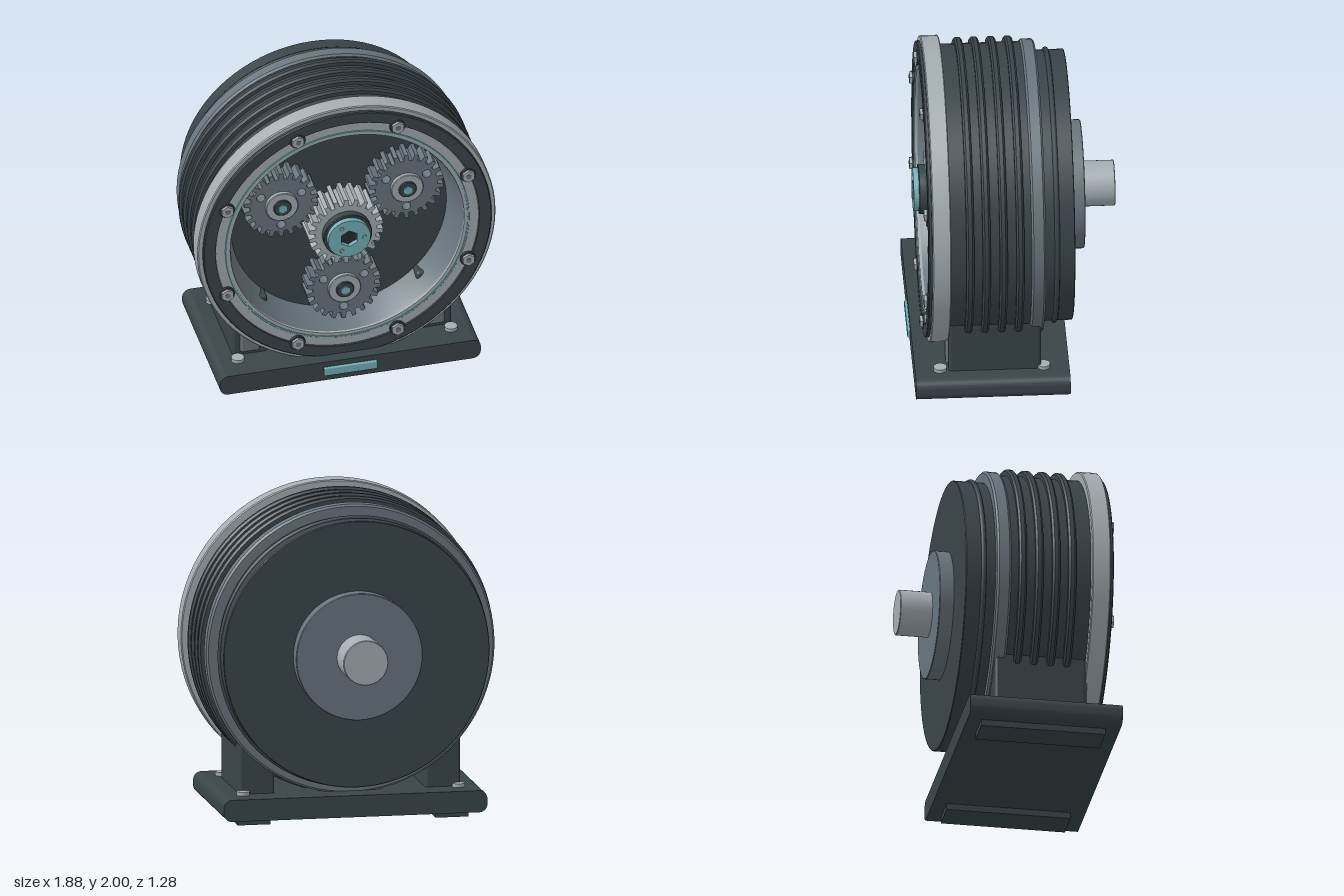
import * as THREE from 'three';
import { toCreasedNormals } from 'three/addons/utils/BufferGeometryUtils.js';
import { RoundedBoxGeometry } from 'three/addons/geometries/RoundedBoxGeometry.js';

const AXIS_Y = 1.06; // height of the main axis

export function createModel() {
  const model = new THREE.Group();
  model.name = 'gearbox';
  const material = (name, color) => {
    const m = new THREE.MeshStandardMaterial({ color });
    m.name = name;
    return m;
  };
  const dark = material('dark slate', 0x39454a);
  const mid = material('mid grey', 0x68767e);
  const light = material('light grey', 0xa4aeb3);
  const teal = material('teal', 0x74b2ba);
  const black = material('near black', 0x232b2f);

  const add = (parent, name, geometry, mat, x = 0, y = 0, z = 0) => {
    const mesh = new THREE.Mesh(geometry, mat);
    mesh.name = name;
    mesh.position.set(x, y, z);
    parent.add(mesh);
    return mesh;
  };
  const group = (parent, name, x, y, z = 0) => {
    const g = new THREE.Group();
    g.name = name;
    g.position.set(x, y, z);
    parent.add(g);
    return g;
  };
  // Solid of revolution around z from [radius, z] pairs
  const turned = (points, segments = 80) => {
    const g = new THREE.LatheGeometry(points.map(p => new THREE.Vector2(p[0], p[1])), segments);
    g.rotateX(Math.PI / 2);
    return toCreasedNormals(g, 0.5);
  };
  // Ring with chamfered outer edges
  const ring = (ri, ro, z0, z1, b = 0.006, segments = 80) => turned([
    [ri, z0], [ro - b, z0], [ro, z0 + b], [ro, z1 - b], [ro - b, z1], [ri, z1], [ri, z0]], segments);
  const disc = (r, z0, z1, segments = 40, b = 0.004) => turned([
    [0, z0], [r - b, z0], [r, z0 + b], [r, z1 - b], [r - b, z1], [0, z1]], segments);
  const hexPrism = (r, z0, z1) => {
    const g = new THREE.CylinderGeometry(r, r, z1 - z0, 6).toNonIndexed();
    g.computeVertexNormals();
    return g.rotateX(Math.PI / 2).translate(0, 0, (z0 + z1) / 2);
  };
  const extrude = (shape, z0, z1) => new THREE.ExtrudeGeometry(shape, {
    depth: z1 - z0, bevelEnabled: false, curveSegments: 16 }).translate(0, 0, z0);
  const roundHole = (shape, x, y, r) => {
    const hole = new THREE.Path();
    hole.absarc(x, y, r, 0, Math.PI * 2, true);
    shape.holes.push(hole);
  };

  const gearShape = (teeth, root, tip) => {
    const pts = [];
    const step = (Math.PI * 2) / teeth;
    for (let i = 0; i < teeth; i++) {
      for (const [f, r] of [[-0.3, root], [-0.19, tip], [0.19, tip], [0.3, root]]) {
        const a = Math.PI / 2 + (i + f) * step;
        pts.push(new THREE.Vector2(Math.cos(a) * r, Math.sin(a) * r));
      }
    }
    return new THREE.Shape(pts);
  };

  // Housing, with the open gear chamber at the front
  const housing = group(model, 'housing', 0, AXIS_Y);
  add(housing, 'barrel', turned([[0, -0.1], [0.885, -0.1], [0.885, 0.42], [0.73, 0.42],
    [0.7, 0.33], [0, 0.33]]), dark);
  for (const z of [0.297, 0.197, 0.093, -0.01]) {
    add(housing, 'coolingRib', ring(0.86, 0.922, z - 0.024, z + 0.024, 0.012), dark);
  }
  add(housing, 'rearBand', ring(0.8, 0.9, -0.167, -0.08, 0.012), mid);
  add(housing, 'rearCover', disc(0.83, -0.35, -0.16, 80), dark);
  add(housing, 'rearSeal', new THREE.TorusGeometry(0.83, 0.016, 8, 80), dark, 0, 0, -0.24);
  add(housing, 'outputCollar', disc(0.395, -0.438, -0.345, 64), mid);
  add(housing, 'outputShaft', disc(0.14, -0.637, -0.43, 40), light);

  // Front flange and chamber rim
  add(housing, 'frontFlange', ring(0.74, 0.94, 0.415, 0.53), light);
  add(housing, 'frontRing', ring(0.832, 0.91, 0.525, 0.553), dark);
  add(housing, 'innerRim', ring(0.738, 0.834, 0.52, 0.543), light);
  add(housing, 'accentRing', ring(0.759, 0.77, 0.54, 0.549, 0.002), teal);
  add(housing, 'chamberWall', turned([[0.76, 0.33], [0.76, 0.525], [0.738, 0.525],
    [0.725, 0.5], [0.68, 0.33]]), mid);
  for (let i = 0; i < 8; i++) {
    const a = ((i + 0.5) * Math.PI) / 4;
    const bolt = group(housing, 'flangeBolt', Math.cos(a) * 0.823, Math.sin(a) * 0.823);
    add(bolt, 'boltSeat', disc(0.05, 0.52, 0.556, 20), dark);
    add(bolt, 'boltHead', hexPrism(0.041, 0.55, 0.574), light);
    add(bolt, 'boltSocket', hexPrism(0.018, 0.572, 0.576), mid);
  }

  // Central gear with its hexagonal drive hub
  const sun = group(model, 'sunGear', 0, AXIS_Y);
  add(sun, 'sunTeeth', extrude(gearShape(22, 0.195, 0.235), 0.33, 0.52), light);
  add(sun, 'sunCollar', disc(0.153, 0.5, 0.565), dark);
  const hub = new THREE.Shape();
  hub.absarc(0, 0, 0.134, 0, Math.PI * 2, false);
  const hex = [];
  for (let i = 0; i < 6; i++) {
    const a = Math.PI / 6 - (i * Math.PI) / 3;
    hex.push(new THREE.Vector2(Math.cos(a) * 0.059, Math.sin(a) * 0.059));
  }
  hub.holes.push(new THREE.Path(hex));
  add(sun, 'driveHub', extrude(hub, 0.56, 0.598), teal);
  add(sun, 'driveSocket', disc(0.07, 0.56, 0.57, 24), black);
  for (const a of [0, 2, 4].map(k => (k * Math.PI) / 3)) {
    add(sun, 'hubPin', disc(0.013, 0.59, 0.603, 12, 0.002), light, Math.cos(a) * 0.095, Math.sin(a) * 0.095);
  }

  // Three planet gears around it
  for (const deg of [30, 150, 270]) {
    const a = THREE.MathUtils.degToRad(deg);
    const planet = group(model, 'planetGear', Math.cos(a) * 0.456, AXIS_Y + Math.sin(a) * 0.456);
    const shape = gearShape(22, 0.195, 0.235);
    for (const h of [30, 150, 270].map(THREE.MathUtils.degToRad)) {
      roundHole(shape, Math.cos(h) * 0.148, Math.sin(h) * 0.148, 0.027);
    }
    add(planet, 'planetTeeth', extrude(shape, 0.335, 0.46), mid);
    add(planet, 'planetHub', disc(0.102, 0.45, 0.485, 32), light);
    add(planet, 'planetBearing', disc(0.056, 0.48, 0.498, 24), dark);
    add(planet, 'planetPin', hexPrism(0.03, 0.49, 0.505), teal);
  }

  // Base plate, with rounded long edges
  const base = group(model, 'base', 0, 0);
  const w = 0.822, y0 = 0.04, y1 = 0.175, r = 0.052;
  const plate = new THREE.Shape();
  plate.absarc(w - r, y0 + r, r, -Math.PI / 2, 0, false);
  plate.absarc(w - r, y1 - r, r, 0, Math.PI / 2, false);
  plate.absarc(r - w, y1 - r, r, Math.PI / 2, Math.PI, false);
  plate.absarc(r - w, y0 + r, r, Math.PI, Math.PI * 1.5, false);
  add(base, 'basePlate', toCreasedNormals(extrude(plate, -0.322, 0.624), 0.5), dark);
  add(base, 'frontBadge', new RoundedBoxGeometry(0.335, 0.06, 0.03, 2, 0.008), teal, 0, 0.108, 0.625);

  // Feet, pedestals and hold-down bolts on both sides
  for (const side of [-1, 1]) {
    add(base, 'foot', new THREE.BoxGeometry(0.205, 0.05, 0.77), dark, side * 0.617, 0.025, 0.147);
    add(base, 'pedestal', new RoundedBoxGeometry(0.22, 0.44, 0.565, 3, 0.02), dark, side * 0.58, 0.37, 0.135);
    add(base, 'pedestalPad', new RoundedBoxGeometry(0.125, 0.24, 0.04, 3, 0.018), mid, side * 0.583, 0.315, 0.415);
    for (const z of [0.47, -0.165]) {
      add(base, 'holdDownBolt', new THREE.CylinderGeometry(0.04, 0.04, 0.03, 20), light, side * 0.672, 0.183, z);
    }
  }
  return model;
}
